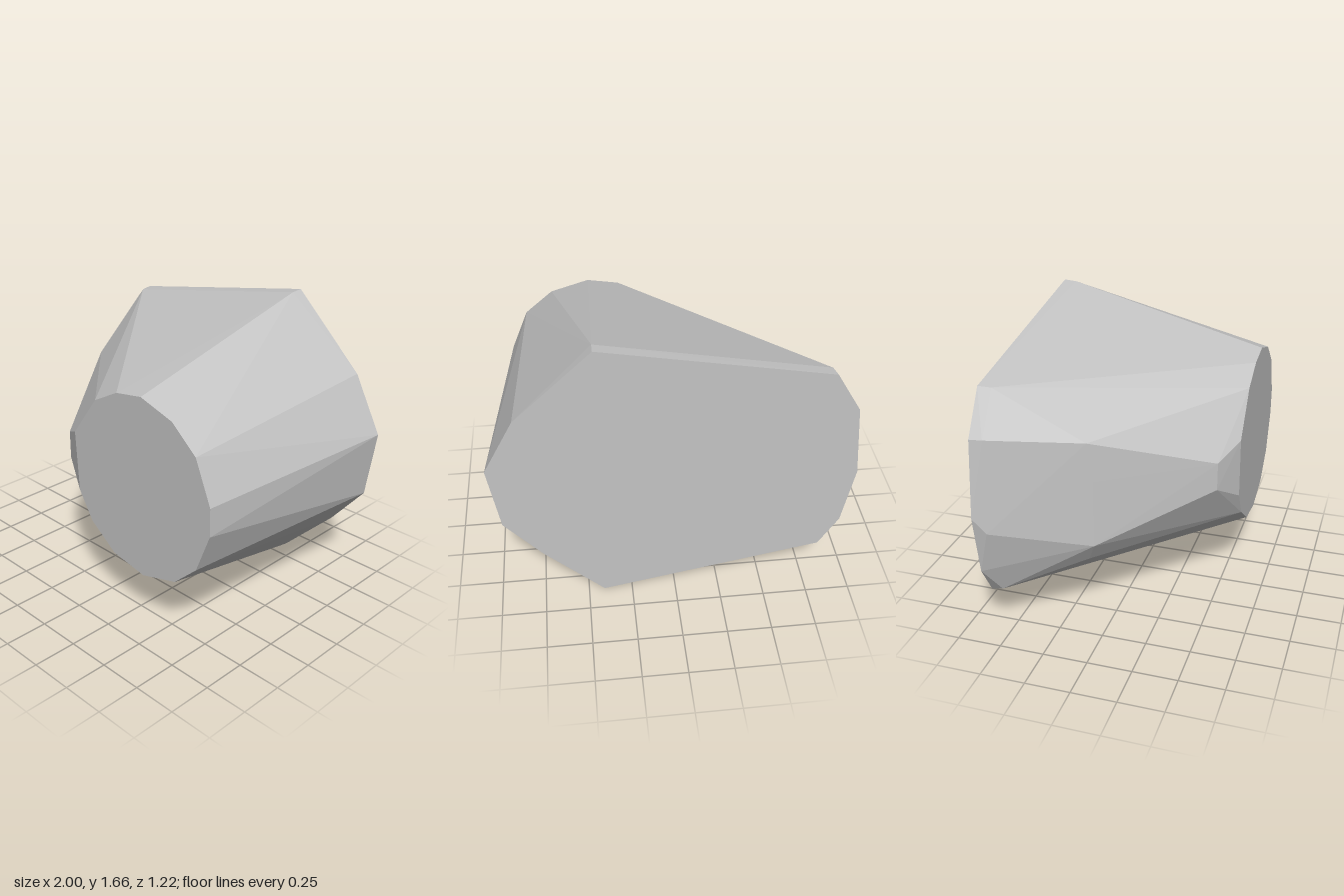
import * as THREE from 'three';
import { ConvexGeometry } from 'three/addons/geometries/ConvexGeometry.js';

// Faceted convex block: a rounded flat front tapering out to a larger flat back.
export function createModel() {
  const group = new THREE.Group();
  group.name = 'facetedBlock';
  const stone = new THREE.MeshStandardMaterial({ color: 0xc3c3c3 });
  stone.name = 'stone grey';

  // Outlines of the two flat ends (x, y)
  const front = [
    [0.39, 1.36], [0.61, 1.295], [0.77, 1.16], [0.87, 0.92], [0.87, 0.76], [0.78, 0.53], [0.63, 0.39],
    [0.39, 0.32], [0.16, 0.36], [-0.02, 0.49], [-0.12, 0.65], [-0.14, 1.0], [0.04, 1.24], [0.21, 1.33],
  ];
  const back = [
    [0.41, 1.665], [0.83, 1.27], [1, 0.955], [0.945, 0.57], [0.74, 0.325], [0.41, 0],
    [-0.83, 0.24], [-0.94, 0.42], [-1, 0.77], [-0.96, 1.2], [-0.82, 1.435],
  ];

  // Corners between the ends: back rim bevel, chipped side and underside
  const between = [
    [0.41, 1.66, -0.54], [-0.81, 1.43, -0.54], [-0.95, 1.2, -0.54], [-0.98, 0.68, -0.54], [-0.84, 0.26, -0.54],
    [-0.7, 0.92, -0.05], [-0.71, 0.54, -0.05], [-0.65, 0.42, -0.1], [-0.71, 1.14, -0.08],
    [-0.63, 1.19, -0.11], [-0.65, 1.25, -0.2],
    [-0.3, 0.92, 0.52], [-0.3, 0.76, 0.52], [-0.2, 0.16, -0.16],
  ];

  const points = [
    ...front.map(([x, y]) => new THREE.Vector3(x, y, 0.61)),
    ...back.map(([x, y]) => new THREE.Vector3(x, y, -0.61)),
    ...between.map((p) => new THREE.Vector3(...p)),
  ];
  const block = new THREE.Mesh(new ConvexGeometry(points), stone);
  block.name = 'block';
  group.add(block);
  return group;
}
